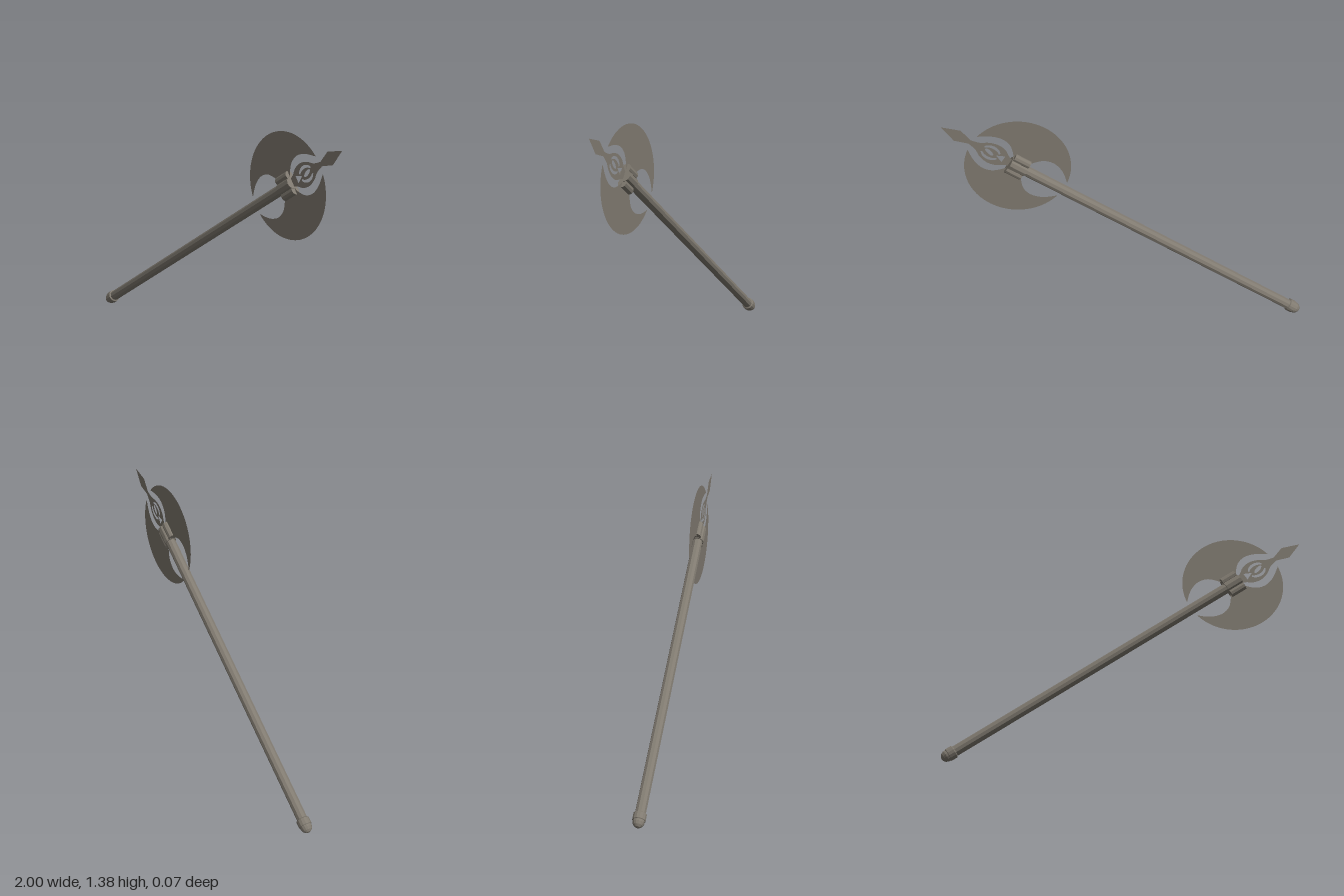
import * as THREE from 'three';

export function createModel() {
  const metal = new THREE.MeshStandardMaterial({ color: 0x807a70, side: THREE.DoubleSide });
  metal.name = 'grey steel';
  metal.flatShading = true;

  // The axe is built along +x from its pommel, then tilted.
  const axe = new THREE.Group();
  axe.name = 'axe';
  axe.position.set(-0.962, 0.038, 0);
  axe.rotation.z = THREE.MathUtils.degToRad(34);

  const add = (name, geometry, x = 0, y = 0) => {
    const mesh = new THREE.Mesh(geometry, metal);
    mesh.name = name;
    mesh.position.set(x, y, 0);
    axe.add(mesh);
  };
  const rod = (radius, length, sides) =>
    new THREE.CylinderGeometry(radius, radius, length, sides).rotateZ(-Math.PI / 2);
  const vec = ([x, y]) => new THREE.Vector2(x, y);

  // Shaft
  add('shaft', rod(0.029, 1.89, 10), 0.945);

  // Domed pommel with a raised collar
  const pommel = [[0, -0.038], [0.013, -0.035], [0.025, -0.025], [0.032, -0.01],
    [0.032, 0.002], [0.036, 0.004], [0.036, 0.04], [0.028, 0.045]].map(vec);
  add('pommel', new THREE.LatheGeometry(pommel, 14).rotateZ(-Math.PI / 2));

  // Socket: a central sleeve with a tube on each side
  const headX = 1.89;
  add('socketSleeve', rod(0.035, 0.1, 10), headX);
  for (const s of [1, -1]) add('socketTube', rod(0.024, 0.095, 10), headX, s * 0.043);

  // Crescent blades, thin sheets mirrored about the shaft
  const radius = 0.288, a0 = 0.17;
  const front = [[0.22, 0.09], [0.16, 0.107], [0.106, 0.095], [0.066, 0.06], [0.045, 0.03]];
  const back = [[-0.06, 0.065], [-0.1, 0.105], [-0.155, 0.12], [-0.21, 0.106], [-0.25, 0.08]];
  for (const s of [1, -1]) {
    const outline = [];
    for (let i = 0; i <= 40; i++) {
      const a = Math.PI - a0 - (i / 40) * (Math.PI - 2 * a0);
      outline.push(new THREE.Vector2(radius * Math.cos(a), radius * Math.sin(a)));
    }
    const tipBack = outline[0], tipFront = outline[40];
    outline.push(...new THREE.SplineCurve([tipFront, ...front.map(vec)]).getPoints(20).slice(1));
    outline.push(vec([0.045, 0]), vec([-0.045, 0]), vec([-0.045, 0.04]));
    outline.push(...new THREE.SplineCurve([...back.map(vec), tipBack]).getPoints(20).slice(0, -1));
    outline.forEach((p) => { p.y *= s; });
    add(s > 0 ? 'upperBlade' : 'lowerBlade', new THREE.ShapeGeometry(new THREE.Shape(outline)), headX);
  }

  // Pierced spike ending in a diamond point
  const half = new THREE.SplineCurve([[0.03, 0.018], [0.07, 0.03], [0.11, 0.056], [0.16, 0.064],
    [0.21, 0.05], [0.25, 0.025], [0.3, 0.012]].map(vec)).getPoints(30);
  half.push(vec([0.375, 0.037]));
  const mirrored = half.map((p) => new THREE.Vector2(p.x, -p.y)).reverse();
  const spike = new THREE.Shape([...half, vec([0.475, 0]), ...mirrored]);

  // Openings: two crescents, a triangle and a slit
  for (const s of [1, -1]) {
    const arc = (rx, ry, i) => {
      const a = 0.45 + (i / 12) * (Math.PI - 0.9);
      return new THREE.Vector2(0.17 + rx * Math.cos(a), s * ry * Math.sin(a));
    };
    const points = [];
    for (let i = 0; i <= 12; i++) points.push(arc(0.055, 0.045, i));
    for (let i = 12; i >= 0; i--) points.push(arc(0.048, 0.028, i));
    spike.holes.push(new THREE.Path(points));
  }
  spike.holes.push(new THREE.Path([[0.09, 0.021], [0.09, -0.021], [0.135, 0]].map(vec)));
  spike.holes.push(new THREE.Path().absellipse(0.178, 0, 0.03, 0.011, 0, Math.PI * 2, false, 0.3));
  add('spike', new THREE.ShapeGeometry(spike, 16), headX);

  const model = new THREE.Group();
  model.name = 'doubleBladedAxe';
  model.add(axe);
  return model;
}
